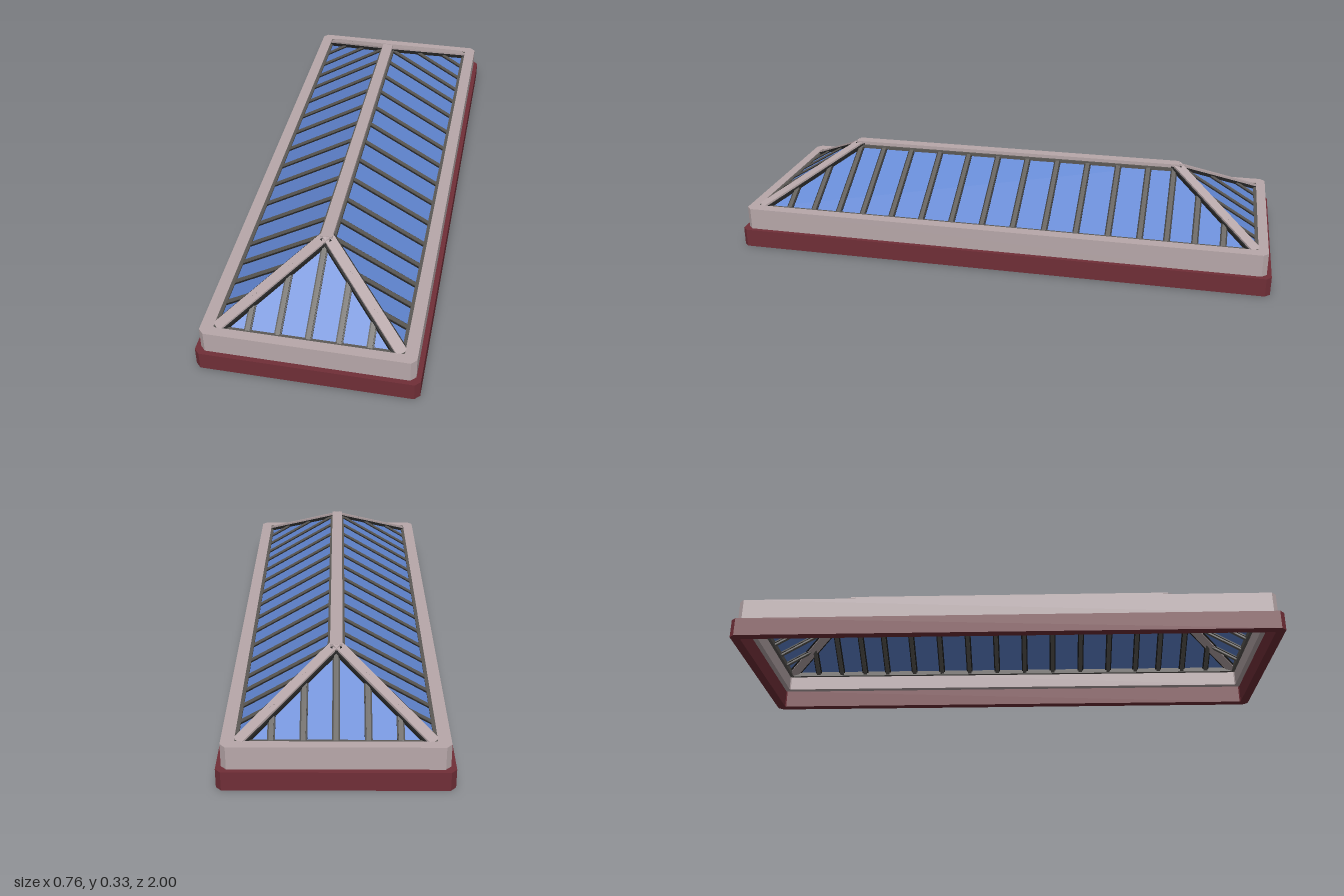
import * as THREE from 'three';

const RIDGE_Y = 0.325, RIDGE_Z = 0.63, EAVE = 0.315, SLOPE = 0.595;
const heightAt = (d) => RIDGE_Y - SLOPE * d;

export function createModel() {
  const mat = (name, color) => {
    const m = new THREE.MeshStandardMaterial({ color });
    m.name = name;
    return m;
  };
  const red = mat('dark red', 0x702e37);
  const stone = mat('pale stone', 0xb8a8aa);
  const grey = mat('dark grey', 0x5c5955);
  const black = mat('black rubber', 0x242424);
  const blue = mat('blue glass', 0x6085d0);
  blue.side = THREE.DoubleSide;

  const model = new THREE.Group();
  model.name = 'roofLantern';
  const add = (name, geo, material) => {
    const mesh = new THREE.Mesh(geo, material);
    mesh.name = name;
    model.add(mesh);
    return mesh;
  };

  // Rectangular ring with chamfered outer corners
  const outline = (Target, x, z, c) => {
    const s = new Target();
    s.setFromPoints([
      [x - c, -z], [x, -z + c], [x, z - c], [x - c, z],
      [-x + c, z], [-x, z - c], [-x, -z + c], [-x + c, -z],
    ].map(([a, b]) => new THREE.Vector2(a, b)));
    s.closePath();
    return s;
  };
  const ring = (name, x, z, c, ix, iz, y0, y1, material) => {
    const shape = outline(THREE.Shape, x, z, c);
    shape.holes.push(outline(THREE.Path, ix, iz, 0.004));
    const geo = new THREE.ExtrudeGeometry(shape, { depth: y1 - y0, bevelEnabled: false });
    geo.rotateX(-Math.PI / 2).translate(0, y0, 0);
    add(name, geo, material);
  };
  ring('baseFlashing', 0.38, 1.0, 0.018, 0.345, 0.967, 0, 0.068, red);
  ring('kerb', 0.363, 0.983, 0.018, 0.32, 0.948, 0.068, 0.15, stone);
  ring('eaveFrame', 0.322, 0.95, 0, 0.308, 0.936, 0.124, 0.148, grey);

  // Bar between two points, from low to high measured above the line
  const bar = (name, a, b, width, low, high, material) => {
    const dir = b.clone().sub(a);
    const length = dir.length();
    dir.normalize();
    const side = new THREE.Vector3(0, 1, 0).cross(dir).normalize();
    const up = dir.clone().cross(side);
    const geo = new THREE.BoxGeometry(width, high - low, length);
    geo.translate(0, (high + low) / 2, length / 2);
    geo.applyMatrix4(new THREE.Matrix4().makeBasis(side, up, dir).setPosition(a));
    add(name, geo, material);
  };
  const V = (x, y, z) => new THREE.Vector3(x, y, z);
  const glazingBar = (a, b) => {
    bar('glazingGasket', a, b, 0.025, -0.005, 0.003, black);
    bar('glazingBar', a, b, 0.015, -0.012, 0.007, grey);
  };

  // Glass pane from a loop of corners
  const pane = (name, corners) => {
    const geo = new THREE.BufferGeometry().setFromPoints(corners);
    geo.setIndex(corners.length === 4 ? [0, 1, 2, 0, 2, 3] : [0, 1, 2]);
    geo.computeVertexNormals();
    add(name, geo, blue);
  };

  const low = heightAt(EAVE), zEave = RIDGE_Z + EAVE;
  for (const s of [1, -1]) {
    // Long slope on each side
    const side = [V(s * EAVE, low, zEave), V(s * EAVE, low, -zEave),
      V(0, RIDGE_Y, -RIDGE_Z), V(0, RIDGE_Y, RIDGE_Z)];
    pane('sideGlass', s > 0 ? side : side.reverse());
    for (const z of [0.059, 0.177, 0.295, 0.413, 0.528, 0.625, 0.725, 0.825]) {
      for (const e of [1, -1]) {
        const top = Math.max(0.02, z - RIDGE_Z);
        glazingBar(V(s * EAVE, low, e * z), V(s * top, heightAt(top), e * z));
      }
    }

    // Triangular slope on each end
    const end = [V(-EAVE, low, s * zEave), V(EAVE, low, s * zEave), V(0, RIDGE_Y, s * RIDGE_Z)];
    pane('endGlass', s > 0 ? end : end.reverse());
    for (const x of [-0.205, -0.103, 0, 0.103, 0.205]) {
      const d = Math.abs(x);
      glazingBar(V(x, low, s * zEave), V(x, heightAt(d), s * (RIDGE_Z + d)));
    }

    // Hip rafters at the corners
    for (const e of [1, -1]) {
      const a = V(s * EAVE, low, e * zEave), b = V(0, RIDGE_Y, e * RIDGE_Z);
      bar('hipGasket', a, b, 0.054, -0.012, 0.001, black);
      bar('hipRafter', a, b, 0.04, -0.015, 0.008, stone);
    }
  }

  // Ridge with its pale cap
  const ridge = (name, width, y0, y1, half, material) => {
    const mesh = add(name, new THREE.BoxGeometry(width, y1 - y0, half * 2), material);
    mesh.position.y = (y0 + y1) / 2;
  };
  ridge('ridgeBeam', 0.058, 0.302, 0.32, 0.63, grey);
  ridge('ridgeCap', 0.042, 0.318, 0.333, 0.642, stone);

  return model;
}
